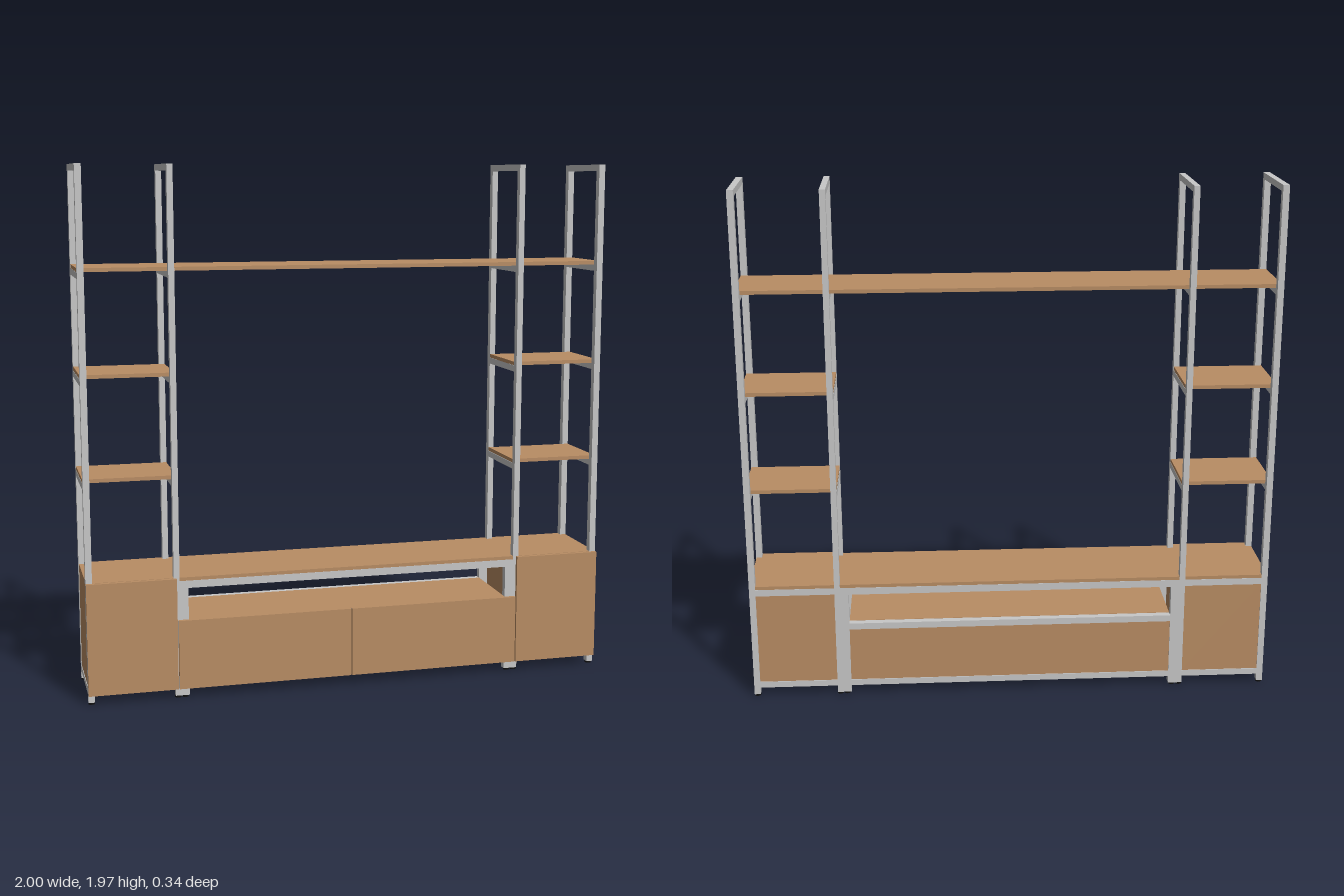
import * as THREE from 'three';

export function createModel() {
  const model = new THREE.Group();
  const wood = new THREE.MeshStandardMaterial({ color: 0xb98d64 });
  wood.name = 'wood';
  const metal = new THREE.MeshStandardMaterial({ color: 0xc8c8c8 });
  metal.name = 'greyMetal';
  const rubber = new THREE.MeshStandardMaterial({ color: 0x111111 });
  rubber.name = 'blackRubber';

  // Box given by its limits on each axis
  const box = (name, mat, x0, x1, y0, y1, z0, z1, parent = model) => {
    const mesh = new THREE.Mesh(new THREE.BoxGeometry(x1 - x0, y1 - y0, z1 - z0), mat);
    mesh.position.set((x0 + x1) / 2, (y0 + y1) / 2, (z0 + z1) / 2);
    mesh.name = name;
    parent.add(mesh);
  };

  const FRONT = 0.155, BACK = -0.169, D = 0.027; // frame depth and tube size
  const ZF = FRONT - D, ZB = BACK + D;           // inner faces of the posts
  const TOP = 1.97, FOOT = 0.008;
  const DECK = 0.448;                            // underside of the cabinet top
  const shelfY = [0.828, 1.208, 1.59];           // shelf undersides
  const T = 0.014;

  // Upright ladder frame: two posts on feet, with rungs running front to back
  const ladder = (name, x0, x1, top, rungs) => {
    const g = new THREE.Group();
    g.name = name;
    model.add(g);
    for (const [z0, z1] of [[ZF, FRONT], [BACK, ZB]]) {
      box('post', metal, x0, x1, FOOT, top, z0, z1, g);
      const foot = new THREE.Mesh(new THREE.CylinderGeometry(0.012, 0.012, FOOT, 12), rubber);
      foot.position.set((x0 + x1) / 2, FOOT / 2, (z0 + z1) / 2);
      foot.name = 'foot';
      g.add(foot);
    }
    for (const y of rungs) box('rung', metal, x0, x1, y - 0.024, y, ZB, ZF, g);
  };

  for (const [side, s] of [['left', 1], ['right', -1]]) {
    // Limits mirrored to the chosen side
    const span = (a, b) => (s > 0 ? [a, b] : [-b, -a]);
    const outer = span(0.976, 1), inner = span(0.655, 0.677), middle = span(0.623, 0.655);
    const rungs = [0.06, ...shelfY, TOP];
    ladder(side + 'OuterFrame', ...outer, TOP, rungs);
    ladder(side + 'InnerFrame', ...inner, TOP, rungs);
    ladder(side + 'MiddleFrame', ...middle, DECK, [0.06, DECK]);

    // Small shelves
    for (const y of shelfY.slice(0, 2)) {
      box(side + 'Shelf', wood, ...span(0.656, 0.999), y, y + T, ZB, ZF);
    }

    // Side cabinet
    box(side + 'OuterPanel', wood, ...span(0.982, 0.998), 0.06, DECK, ZB, ZF);
    box(side + 'InnerPanel', wood, ...span(0.657, 0.675), 0.06, DECK, ZB, ZF);
    box(side + 'CabinetBack', wood, ...span(0.677, 0.976), 0.06, 0.422, -0.166, -0.156);
    box(side + 'Door', wood, ...span(0.667, 1), 0.037, 0.46, FRONT, 0.17);
    box(side + 'Drawer', wood, ...span(0.002, 0.663), 0.037, 0.3, FRONT, 0.17);

    // Long rails of the side cabinet
    for (const [z0, z1] of [[ZF, FRONT], [BACK, ZB]]) {
      box(side + 'BottomRail', metal, ...span(0.677, 0.976), 0.036, 0.06, z0, z1);
      box(side + 'TopRail', metal, ...span(0.677, 0.976), 0.422, DECK, z0, z1);
    }
  }

  // Long rails of the middle unit
  for (const [z0, z1] of [[ZF, FRONT], [BACK, ZB]]) {
    for (const [y0, y1] of [[0.036, 0.06], [0.274, 0.299], [0.42, DECK]]) {
      box('middleRail', metal, -0.623, 0.623, y0, y1, z0, z1);
    }
  }

  // Drawer compartment, floor, cabinet top and long upper shelf
  box('drawerTop', wood, -0.623, 0.623, 0.286, 0.3, ZB, FRONT);
  box('drawerBack', wood, -0.623, 0.623, 0.06, 0.274, -0.166, -0.156);
  box('cabinetFloor', wood, -0.976, 0.976, 0.052, 0.064, ZB, ZF);
  box('cabinetTop', wood, -0.998, 0.998, DECK, 0.461, -0.168, 0.154);
  box('longShelf', wood, -0.999, 0.999, shelfY[2], shelfY[2] + T, ZB, ZF);

  return model;
}
